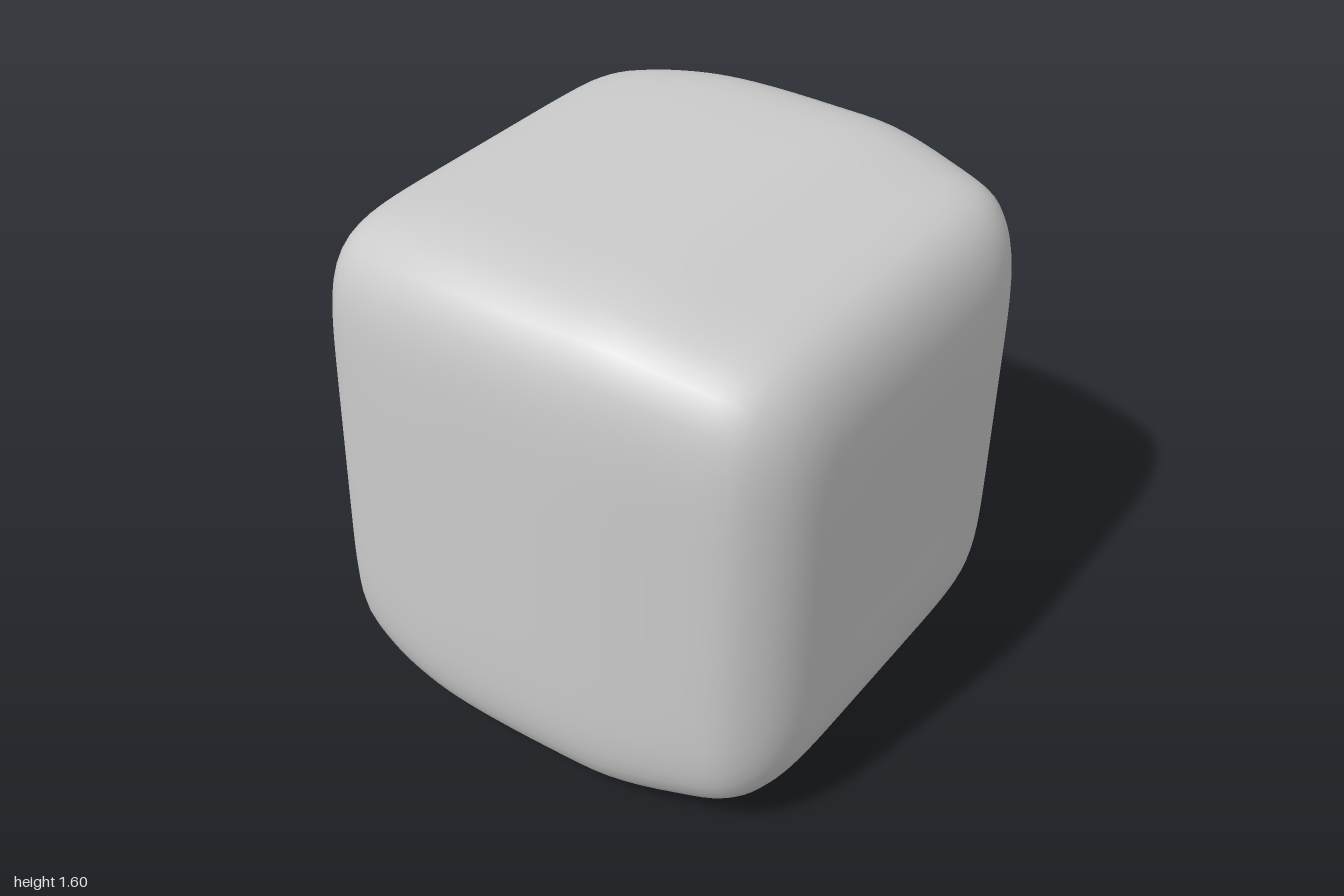
import * as THREE from 'three';

const material = new THREE.MeshStandardMaterial({ color: 0xcccccc });

// Half width, half height and z of the key cross-sections, front to back
const sections = [
  [0, 0, 1], [0.22, 0.22, 1], [0.42, 0.42, 0.998], [0.55, 0.56, 0.975],
  [0.64, 0.66, 0.925], [0.705, 0.72, 0.85], [0.75, 0.76, 0.7], [0.785, 0.797, 0.5],
  [0.797, 0.8, 0.3], [0.798, 0.797, 0.02], [0.785, 0.785, -0.14], [0.755, 0.757, -0.3],
  [0.705, 0.715, -0.43], [0.59, 0.61, -0.52], [0.42, 0.43, -0.557], [0.22, 0.22, -0.56], [0, 0, -0.56],
];

// Lofts softly squared rings along z
function softBlock(keys, squareness, rings, sides) {
  const curve = new THREE.CatmullRomCurve3(keys.map(k => new THREE.Vector3(...k)));
  const positions = [], index = [];
  for (let i = 0; i <= rings; i++) {
    const p = curve.getPoint(i / rings);
    for (let j = 0; j < sides; j++) {
      const a = (j / sides) * Math.PI * 2;
      const c = Math.cos(a), s = Math.sin(a);
      const r = (Math.abs(c) ** squareness + Math.abs(s) ** squareness) ** (-1 / squareness);
      positions.push(p.x * r * c, p.y * r * s, p.z);
      if (i === rings) continue;
      const k = (j + 1) % sides, n = i * sides, m = n + sides;
      index.push(n + j, m + j, n + k, n + k, m + j, m + k);
    }
  }
  const geometry = new THREE.BufferGeometry();
  geometry.setAttribute('position', new THREE.Float32BufferAttribute(positions, 3));
  geometry.setIndex(index);
  geometry.computeVertexNormals();
  return geometry;
}

export function createModel() {
  const group = new THREE.Group();

  // Pillowy cube
  const body = new THREE.Mesh(softBlock(sections, 7, 64, 128), material);
  body.name = 'body';
  body.position.y = 0.8;
  group.add(body);

  // Round peg on the back with a softened end
  const profile = [[0.15, 0], [0.15, 0.2], [0.15, 0.4], [0.149, 0.465], [0.139, 0.49], [0.115, 0.5], [0, 0.5]];
  const peg = new THREE.Mesh(new THREE.LatheGeometry(profile.map(p => new THREE.Vector2(...p)), 48), material);
  peg.name = 'peg';
  peg.rotation.x = -Math.PI / 2;
  peg.position.set(0, 0.8, -0.5);
  group.add(peg);

  return group;
}
